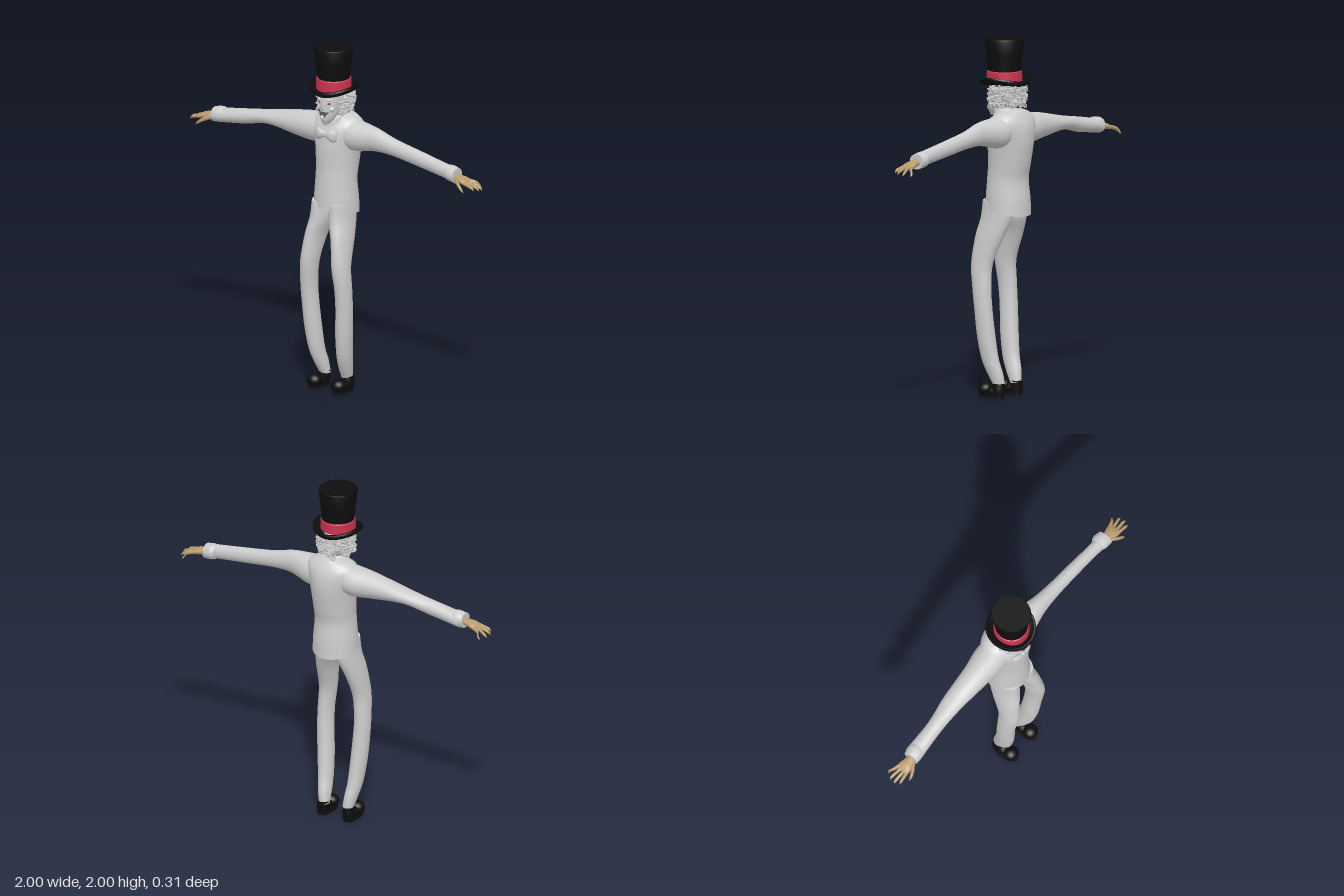
import * as THREE from 'three';
import { mergeGeometries, toCreasedNormals } from 'three/addons/utils/BufferGeometryUtils.js';

const mat = (name, color, side = THREE.FrontSide) => {
  const m = new THREE.MeshStandardMaterial({ color, side });
  m.name = name;
  return m;
};

// Smooth capped tube through elliptical sections [t, centreA, centreB, radiusA, radiusB].
// Axis 'y': t is y, A is x, B is z. Axis 'x': t is x, A is y, B is z.
function loft(sections, axis = 'y', steps = 4, sides = 24) {
  const line = (f) => new THREE.CatmullRomCurve3(sections.map(f), false, 'catmullrom');
  const centre = line((s) => new THREE.Vector3(s[0], s[1], s[2]));
  const size = line((s) => new THREE.Vector3(s[3], s[4], 0));
  const rows = (sections.length - 1) * steps;
  const pos = [], idx = [];
  const put = (t, a, b) => (axis === 'y' ? pos.push(a, t, b) : pos.push(t, a, b));
  const flip = (axis === 'y') !== (sections[0][0] > sections[sections.length - 1][0]);
  const tri = (a, b, c) => (flip ? idx.push(a, c, b) : idx.push(a, b, c));
  for (let i = 0; i <= rows; i++) {
    const c = centre.getPoint(i / rows), r = size.getPoint(i / rows);
    for (let j = 0; j < sides; j++) {
      const q = (j / sides) * Math.PI * 2;
      put(c.x, c.y + r.x * Math.cos(q), c.z + r.y * Math.sin(q));
    }
  }
  for (let i = 0; i < rows; i++) for (let j = 0; j < sides; j++) {
    const k = (j + 1) % sides, a = i * sides, b = a + sides;
    tri(a + j, a + k, b + j);
    tri(a + k, b + k, b + j);
  }
  const first = sections[0], last = sections[sections.length - 1], n = pos.length / 3;
  put(first[0], first[1], first[2]);
  put(last[0], last[1], last[2]);
  for (let j = 0; j < sides; j++) {
    const k = (j + 1) % sides;
    tri(n, k, j);
    tri(n + 1, rows * sides + j, rows * sides + k);
  }
  const g = new THREE.BufferGeometry();
  g.setAttribute('position', new THREE.Float32BufferAttribute(pos, 3));
  g.setIndex(idx);
  return toCreasedNormals(g, 1.0);
}

// Move every vertex by a rule
function bend(g, rule) {
  const p = g.attributes.position, v = new THREE.Vector3();
  for (let i = 0; i < p.count; i++) {
    rule(v.fromBufferAttribute(p, i));
    p.setXYZ(i, v.x, v.y, v.z);
  }
  g.computeVertexNormals();
  return g;
}

// Front height of a lofted body at x, y
function frontZ(sections, x, y) {
  let i = 0;
  while (i < sections.length - 2 && sections[i + 1][0] < y) i++;
  const a = sections[i], b = sections[i + 1];
  const f = THREE.MathUtils.clamp((y - a[0]) / (b[0] - a[0]), 0, 1);
  const [, cx, cz, rx, rz] = a.map((v, k) => v + (b[k] - v) * f);
  return cz + rz * Math.sqrt(Math.max(0, 1 - ((x - cx) / rx) ** 2));
}

// Thin panel lying on the front of a lofted body; x0 and x1 are functions of f = 0..1
function panel(sections, y0, y1, x0, x1, lift) {
  return bend(new THREE.PlaneGeometry(1, 1, 10, 14), (v) => {
    const u = v.x + 0.5, f = v.y + 0.5;
    const x = x0(f) + (x1(f) - x0(f)) * u, y = y0 + (y1 - y0) * f;
    v.set(x, y, frontZ(sections, x, y) + lift);
  });
}

const TORSO = [
  [1.045, 0, -0.012, 0.128, 0.126], [1.12, 0, -0.012, 0.125, 0.122], [1.22, 0, -0.01, 0.118, 0.113],
  [1.3, 0, -0.02, 0.12, 0.117], [1.42, 0, -0.03, 0.132, 0.125], [1.5, 0, -0.034, 0.15, 0.12],
  [1.55, 0, -0.037, 0.155, 0.103], [1.585, 0, -0.04, 0.12, 0.08], [1.605, 0, -0.04, 0.065, 0.066],
];
const HEAD = [
  [1.565, 0, 0.085, 0.016, 0.02], [1.6, 0, 0.057, 0.042, 0.06], [1.65, 0, 0.032, 0.058, 0.082],
  [1.7, 0, 0.022, 0.066, 0.09], [1.77, 0, 0.014, 0.068, 0.086],
];
const LEG = [
  [1.1, 0.06, 0.01, 0.058, 0.1], [1.0, 0.066, 0.02, 0.06, 0.1], [0.9, 0.09, 0.05, 0.05, 0.09],
  [0.75, 0.108, 0.087, 0.047, 0.067], [0.62, 0.118, 0.082, 0.045, 0.057], [0.5, 0.117, 0.072, 0.046, 0.053],
  [0.35, 0.107, 0.06, 0.046, 0.054], [0.22, 0.096, 0.041, 0.041, 0.052], [0.14, 0.085, 0.015, 0.036, 0.048],
  [0.07, 0.076, -0.008, 0.03, 0.033],
];
const LEFT_ARM = [
  [0.06, 1.5, -0.03, 0.085, 0.085], [0.14, 1.49, -0.03, 0.086, 0.085], [0.27, 1.498, -0.02, 0.066, 0.052],
  [0.4, 1.48, -0.018, 0.049, 0.04], [0.57, 1.455, -0.015, 0.045, 0.036], [0.72, 1.433, -0.01, 0.042, 0.034],
  [0.84, 1.415, -0.005, 0.041, 0.036],
];
const RIGHT_ARM = [
  [-0.06, 1.5, -0.03, 0.085, 0.085], [-0.15, 1.487, -0.03, 0.085, 0.09], [-0.27, 1.484, -0.025, 0.071, 0.075],
  [-0.47, 1.473, -0.025, 0.04, 0.058], [-0.63, 1.443, -0.017, 0.043, 0.044], [-0.82, 1.412, -0.012, 0.04, 0.05],
];
// Fingers: end x, z at knuckle, z at tip
const FINGERS = [[0.97, -0.032, -0.062], [0.995, -0.014, -0.03], [1.0, 0.006, 0.002], [0.985, 0.024, 0.03]];

export function createModel() {
  const root = new THREE.Group();
  const suit = mat('white cloth', 0xcccccc), black = mat('black felt', 0x0d0d0d);
  const red = mat('red', 0xc8324e), skin = mat('tan skin', 0xb89c6c);
  const panelMat = mat('white facing', 0xcccccc, THREE.DoubleSide);
  const dark = mat('mouth grey', 0x5a5a5a, THREE.DoubleSide);
  const add = (name, geo, material) => {
    const m = new THREE.Mesh(geo, material);
    m.name = name;
    root.add(m);
    return m;
  };
  const blob = (name, material, p, s) => {
    const m = add(name, new THREE.SphereGeometry(1, 20, 14), material);
    m.position.set(...p);
    m.scale.set(...s);
    return m;
  };

  // Jacket, with its hem dropping toward the back
  const jacket = bend(loft(TORSO, 'y', 4, 40), (v) => {
    v.y += v.z * 0.2 * THREE.MathUtils.clamp((1.2 - v.y) / 0.15, 0, 1);
  });
  add('jacket', toCreasedNormals(jacket, 1.0), suit);
  add('shirtFront', panel(TORSO, 1.29, 1.56, (f) => -0.07 * f, (f) => 0.07 * f, 0.005), panelMat);
  for (const s of [-1, 1]) {
    const inner = (f) => s * 0.066 * f, outer = (f) => s * (0.066 * f + 0.035 * Math.sin(f * 2.2));
    add('lapel', panel(TORSO, 1.29, 1.57, s > 0 ? inner : outer, s > 0 ? outer : inner, 0.009), panelMat);
  }
  add('jacketOverlap', panel(TORSO, 1.09, 1.3, () => 0, () => 0.03, 0.004), panelMat);

  // Collar, neck and bow tie
  add('neck', loft([[1.52, 0, 0, 0.05, 0.05], [1.64, 0, 0.01, 0.045, 0.05]]), suit);
  const collar = add('collar', new THREE.LatheGeometry(
    [[0.072, 1.54], [0.066, 1.585], [0.06, 1.612], [0.055, 1.6]].map((p) => new THREE.Vector2(...p)), 28), panelMat);
  collar.position.z = 0.005;
  for (const s of [-1, 1]) {
    add('bowTieWing', loft([[0, 1.505, 0.092, 0.012, 0.01], [s * 0.025, 1.503, 0.094, 0.026, 0.016],
      [s * 0.055, 1.5, 0.088, 0.036, 0.016], [s * 0.073, 1.5, 0.08, 0.022, 0.008]], 'x'), suit);
  }
  blob('bowTieKnot', suit, [0, 1.505, 0.096], [0.014, 0.018, 0.014]);

  // Arms and cuffs
  for (const [s, arm] of [[1, LEFT_ARM], [-1, RIGHT_ARM]]) {
    add(s > 0 ? 'leftSleeve' : 'rightSleeve', loft(arm, 'x', 5), suit);
    add('cuff', loft([[s * 0.775, 1.422, -0.012, 0.04, 0.04], [s * 0.8, 1.42, -0.012, 0.045, 0.048],
      [s * 0.842, 1.414, -0.008, 0.043, 0.045]], 'x'), suit);
    // Hands with spread fingers
    add('palm', loft([[s * 0.82, 1.412, -0.005, 0.02, 0.025], [s * 0.86, 1.405, -0.004, 0.02, 0.03],
      [s * 0.9, 1.398, -0.004, 0.018, 0.04], [s * 0.925, 1.39, -0.004, 0.01, 0.034]], 'x'), skin);
    FINGERS.forEach(([x, z0, z1], i) => {
      const y = 1.352 + i * 0.005;
      add('finger', loft([[s * 0.9, 1.396, z0, 0.011, 0.01], [s * 0.945, 1.386, (z0 + z1) / 2, 0.0095, 0.009],
        [s * (x - 0.012), y + 0.012, z1, 0.008, 0.0075], [s * x, y, z1, 0.002, 0.002]], 'x', 3, 10), skin);
    });
    add('thumb', loft([[s * 0.85, 1.4, 0.015, 0.014, 0.014], [s * 0.885, 1.385, 0.04, 0.012, 0.012],
      [s * 0.915, 1.365, 0.052, 0.009, 0.008], [s * 0.93, 1.352, 0.053, 0.002, 0.002]], 'x', 3, 10), skin);
  }

  // Legs and shoes
  for (const s of [-1, 1]) {
    add('trouserLeg', loft(LEG.map(([y, x, ...rest]) => [y, s * x, ...rest])), suit);
    const x = s * 0.083;
    blob('shoeToe', black, [x, 0.046, 0.08], [0.043, 0.037, 0.042]);
    blob('shoeBody', black, [x, 0.035, 0.03], [0.036, 0.032, 0.07]);
    add('shoeAnkle', loft([[0.01, x, -0.004, 0.032, 0.036], [0.045, x, -0.006, 0.034, 0.037],
      [0.083, x - s * 0.004, -0.008, 0.033, 0.035]]), black);
    const sole = add('shoeSole', new THREE.CylinderGeometry(1, 1, 0.014, 28), black);
    sole.position.set(x, 0.013, 0.041);
    sole.scale.set(0.041, 1, 0.082);
    const heel = add('shoeHeel', new THREE.CylinderGeometry(0.03, 0.03, 0.018, 20), black);
    heel.position.set(x, 0.009, -0.008);
  }

  // Head and face
  add('head', loft(HEAD, 'y', 5, 32), suit);
  const nose = add('nose', new THREE.ConeGeometry(0.013, 0.05, 12), suit);
  nose.position.set(0, 1.668, 0.12);
  nose.rotation.x = 0.75;
  for (const s of [-1, 1]) {
    const e = blob('eye', red, [s * 0.034, 1.69, frontZ(HEAD, 0.034, 1.69)], [0.012, 0.006, 0.004]);
    e.rotation.set(0, s * 0.45, s * 0.3);
    const brow = blob('brow', suit, [s * 0.032, 1.708, frontZ(HEAD, 0.032, 1.708)], [0.022, 0.006, 0.008]);
    brow.rotation.set(0, s * 0.4, s * 0.35);
    blob('cheek', suit, [s * 0.04, 1.655, 0.085], [0.017, 0.016, 0.017]);
  }
  const grin = (f) => 0.006 + 0.03 * f;
  add('mouth', panel(HEAD, 1.597, 1.642, (f) => -grin(f), grin, 0.005), dark);
  blob('tongue', suit, [0, 1.607, 0.118], [0.013, 0.018, 0.012]);

  // Curly hair around the sides and back
  let seed = 7;
  const rnd = () => (seed = (seed * 16807) % 2147483647) / 2147483647;
  const curls = [];
  for (let i = 0; i < 190; i++) {
    const q = (rnd() * 2 - 1) * 2.05, y = 1.63 + rnd() * 0.12;
    const r = 0.88 + rnd() * 0.2;
    const g = new THREE.TorusGeometry(0.01 + rnd() * 0.009, 0.005, 5, 10);
    g.rotateX(rnd() * 3).rotateY(rnd() * 6);
    g.translate(Math.sin(q) * 0.088 * r + 0.003, y, 0.005 - Math.cos(q) * 0.108 * r);
    curls.push(g);
  }
  add('hairCurls', mergeGeometries(curls), suit);
  add('hairBase', loft([[1.625, 0, -0.025, 0.05, 0.06], [1.66, 0, -0.02, 0.072, 0.078],
    [1.76, 0, -0.015, 0.078, 0.085]]), suit);

  // Top hat: flared crown, band and brim curled up at the sides
  const lathe = (pts) => toCreasedNormals(
    new THREE.LatheGeometry(pts.map((p) => new THREE.Vector2(...p)), 40), 0.7);
  const crown = add('hatCrown', lathe([[0, 1.74], [0.088, 1.74], [0.09, 1.82], [0.098, 1.91],
    [0.109, 1.992], [0.106, 2.0], [0, 2.0]]), black);
  const band = add('hatBand', lathe([[0.09, 1.75], [0.099, 1.755], [0.096, 1.815], [0.09, 1.82]]), red);
  for (const m of [crown, band]) {
    m.position.z = 0.014;
    m.scale.z = 1.02;
  }
  const brim = add('hatBrim', toCreasedNormals(bend(lathe([[0, 1.737], [0.09, 1.735], [0.125, 1.735], [0.136, 1.742],
    [0.14, 1.755], [0.136, 1.765], [0.128, 1.767], [0.115, 1.757], [0.09, 1.755], [0, 1.755]]),
  (v) => { v.y += 0.028 * (v.x / 0.14) ** 2 - 0.03 * v.z; }), 0.7), black);
  brim.position.z = 0.01;
  return root;
}
